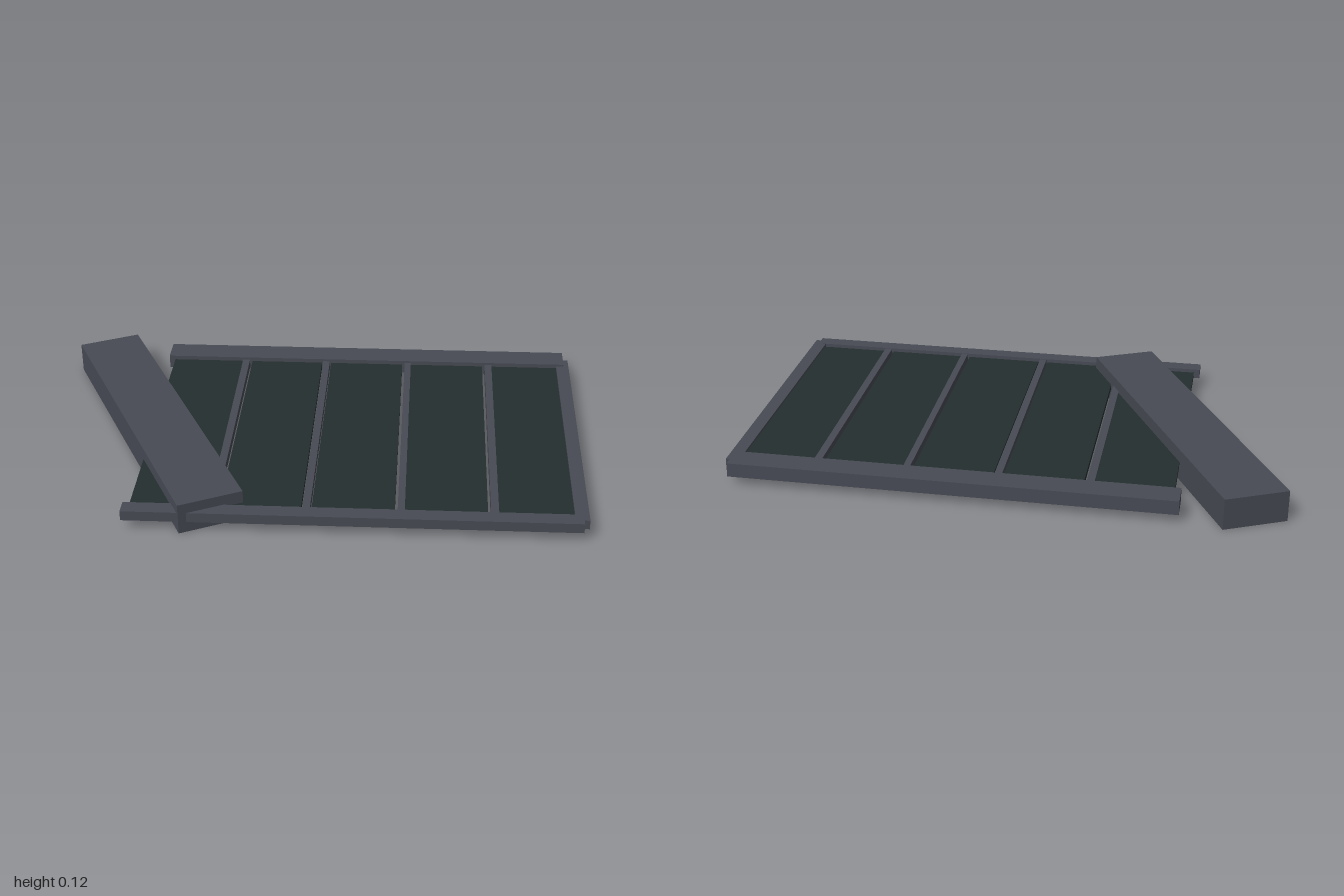
import * as THREE from 'three';

export function createModel() {
  const model = new THREE.Group();
  model.name = 'slattedPanel';

  const frameGrey = new THREE.MeshStandardMaterial({ color: 0x474a54 });
  frameGrey.name = 'frameGrey';
  const panelGreen = new THREE.MeshStandardMaterial({ color: 0x232e2e });
  panelGreen.name = 'panelGreen';

  // Box given by its limits on each axis
  function box(parent, name, material, [x0, x1], [y0, y1], [z0, z1]) {
    const mesh = new THREE.Mesh(new THREE.BoxGeometry(x1 - x0, y1 - y0, z1 - z0), material);
    mesh.position.set((x0 + x1) / 2, (y0 + y1) / 2, (z0 + z1) / 2);
    mesh.name = name;
    parent.add(mesh);
  }

  // Heavy beam aligned with the z axis
  box(model, 'mainBeam', frameGrey, [-0.82, -0.58], [0, 0.115], [-0.96, 0.35]);

  // Framed panel, turned in plan
  const panel = new THREE.Group();
  panel.name = 'framedPanel';
  panel.rotation.y = -THREE.MathUtils.degToRad(25.9);
  model.add(panel);

  // Rails on three sides
  box(panel, 'backRail', frameGrey, [-0.79, 0.82], [0.032, 0.084], [-0.592, -0.488]);
  box(panel, 'frontRail', frameGrey, [-0.79, 0.82], [0.04, 0.077], [0.6, 0.66]);
  box(panel, 'endRail', frameGrey, [0.79, 0.84], [0.041, 0.076], [-0.541, 0.636]);

  // Thin infill panels, open by a narrow slit at the front rail
  const panels = [[-0.767, -0.486], [-0.449, -0.163], [-0.126, 0.165], [0.199, 0.49], [0.527, 0.795]];
  for (const span of panels) box(panel, 'infillPanel', panelGreen, span, [0.048, 0.068], [-0.5, 0.589]);

  // Divider bars between the panels
  const dividers = [[-0.487, -0.459], [-0.158, -0.131], [0.175, 0.2], [0.5, 0.528]];
  for (const span of dividers) box(panel, 'dividerBar', frameGrey, span, [0.042, 0.075], [-0.5, 0.602]);

  return model;
}
